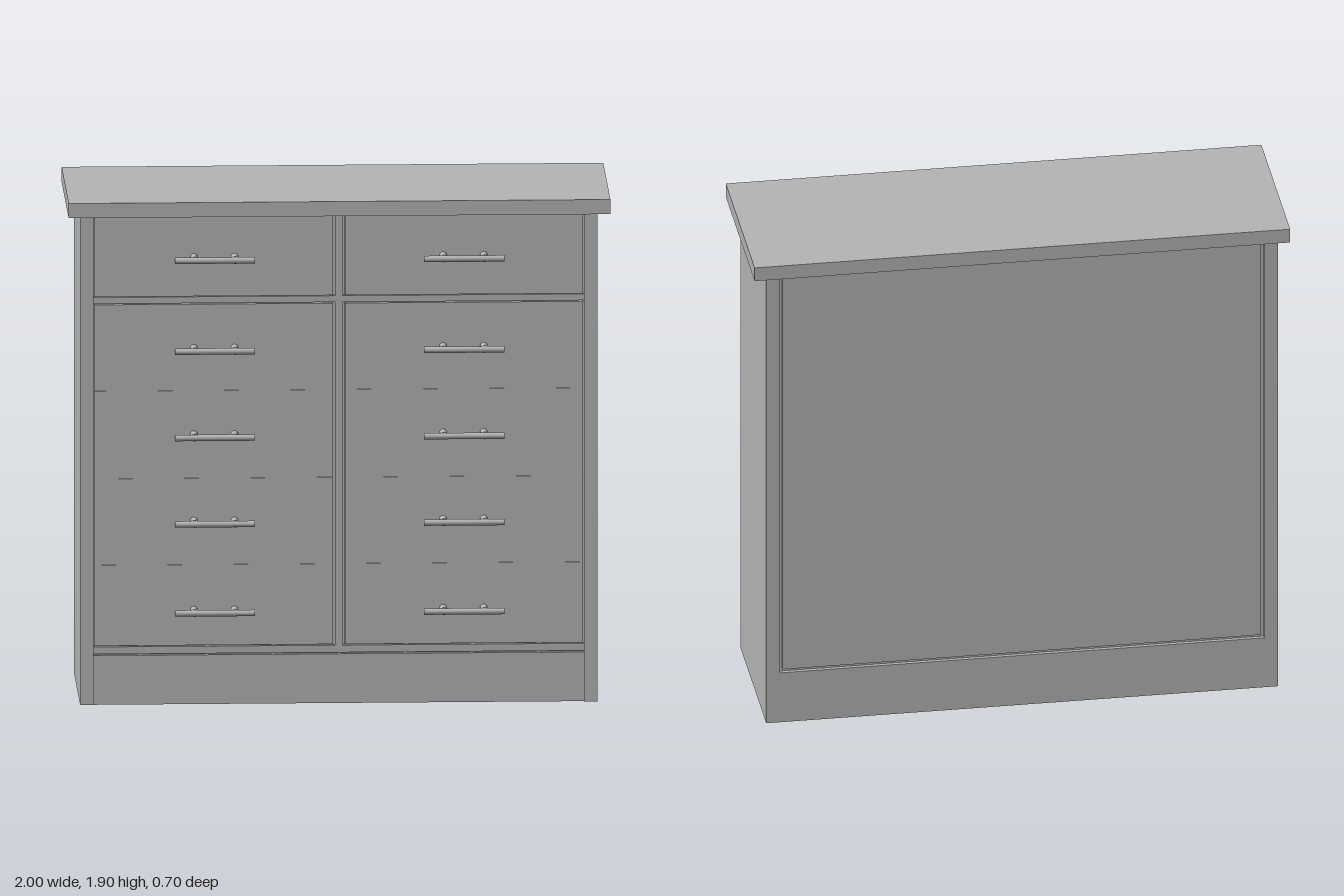
import * as THREE from 'three';

export function createModel() {
  const model = new THREE.Group();
  model.name = 'chestOfDrawers';
  const grey = new THREE.MeshStandardMaterial({ color: 0xb4b4b4 });
  grey.name = 'grey';

  // Box given by its min and max on each axis
  function box(name, x0, x1, y0, y1, z0, z1) {
    const mesh = new THREE.Mesh(new THREE.BoxGeometry(x1 - x0, y1 - y0, z1 - z0), grey);
    mesh.position.set((x0 + x1) / 2, (y0 + y1) / 2, (z0 + z1) / 2);
    mesh.name = name;
    model.add(mesh);
  }

  const FRONT = 0.275, BACK = -0.34, SIDE = 0.905, TOP = 1.845;

  // Carcass
  box('topSlab', -1, 1, TOP, 1.9, -0.35, 0.335);
  box('leftSidePanel', SIDE, 0.955, 0, TOP, BACK, FRONT);
  box('rightSidePanel', -0.955, -SIDE, 0, TOP, BACK, FRONT);
  box('frontPlinth', -SIDE, SIDE, 0, 0.185, 0.22, FRONT - 0.006);
  box('backPlinth', -SIDE, SIDE, 0, 0.205, BACK, -0.29);
  box('bottomPanel', -SIDE, SIDE, 0.005, 0.05, -0.29, 0.22);

  // Back panel sits in a narrow shadow groove
  box('backGroove', -SIDE, SIDE, 0.205, TOP, -0.325, -0.3);
  box('backPanel', -0.893, 0.893, 0.217, TOP, BACK + 0.003, -0.325);

  // Front rails and the centre post, set behind the drawer fronts
  box('innerFront', -SIDE, SIDE, 0.185, TOP, 0.2, 0.25);
  box('lowerRail', -SIDE, SIDE, 0.19, 0.217, 0.25, FRONT - 0.008);
  box('upperRail', -SIDE, SIDE, 1.508, 1.532, 0.25, FRONT - 0.008);
  box('centrePost', -0.014, 0.014, 0.217, TOP, 0.25, FRONT - 0.01);

  // Bar handle on two round posts
  const barGeometry = new THREE.CylinderGeometry(0.012, 0.012, 0.296, 16).rotateZ(Math.PI / 2);
  const postGeometry = new THREE.CylinderGeometry(0.014, 0.014, 0.065, 16).rotateX(Math.PI / 2);
  function handle(x, y) {
    const group = new THREE.Group();
    group.name = 'handle';
    const bar = new THREE.Mesh(barGeometry, grey);
    bar.name = 'handleBar';
    bar.position.z = 0.338;
    group.add(bar);
    for (const dx of [-0.075, 0.075]) {
      const post = new THREE.Mesh(postGeometry, grey);
      post.name = 'handlePost';
      post.position.set(dx, 0, 0.3025);
      group.add(post);
    }
    group.position.set(x, y, 0);
    model.add(group);
  }

  // Five rows of two drawers: bottom, top, handle height
  const rows = [
    [0.222, 0.525, 0.355],
    [0.55, 0.85, 0.69],
    [0.88, 1.18, 1.015],
    [1.205, 1.505, 1.34],
    [1.535, TOP, 1.682],
  ];
  rows.forEach(([y0, y1, grip], i) => {
    box('rightDrawer', -0.902, -0.022, y0, y1, 0.25, FRONT - 0.003);
    box('leftDrawer', 0.022, 0.902, y0, y1, 0.25, FRONT - 0.003);
    // Thin dividers almost flush with the drawers
    if (i < 3) for (const [a, b] of [[-0.902, -0.022], [0.022, 0.902]]) {
      box('drawerDivider', a, b, y1, rows[i + 1][0], 0.25, FRONT - 0.005);
    }
    for (const s of [-1, 1]) handle(s * 0.46, grip);
  });

  return model;
}
